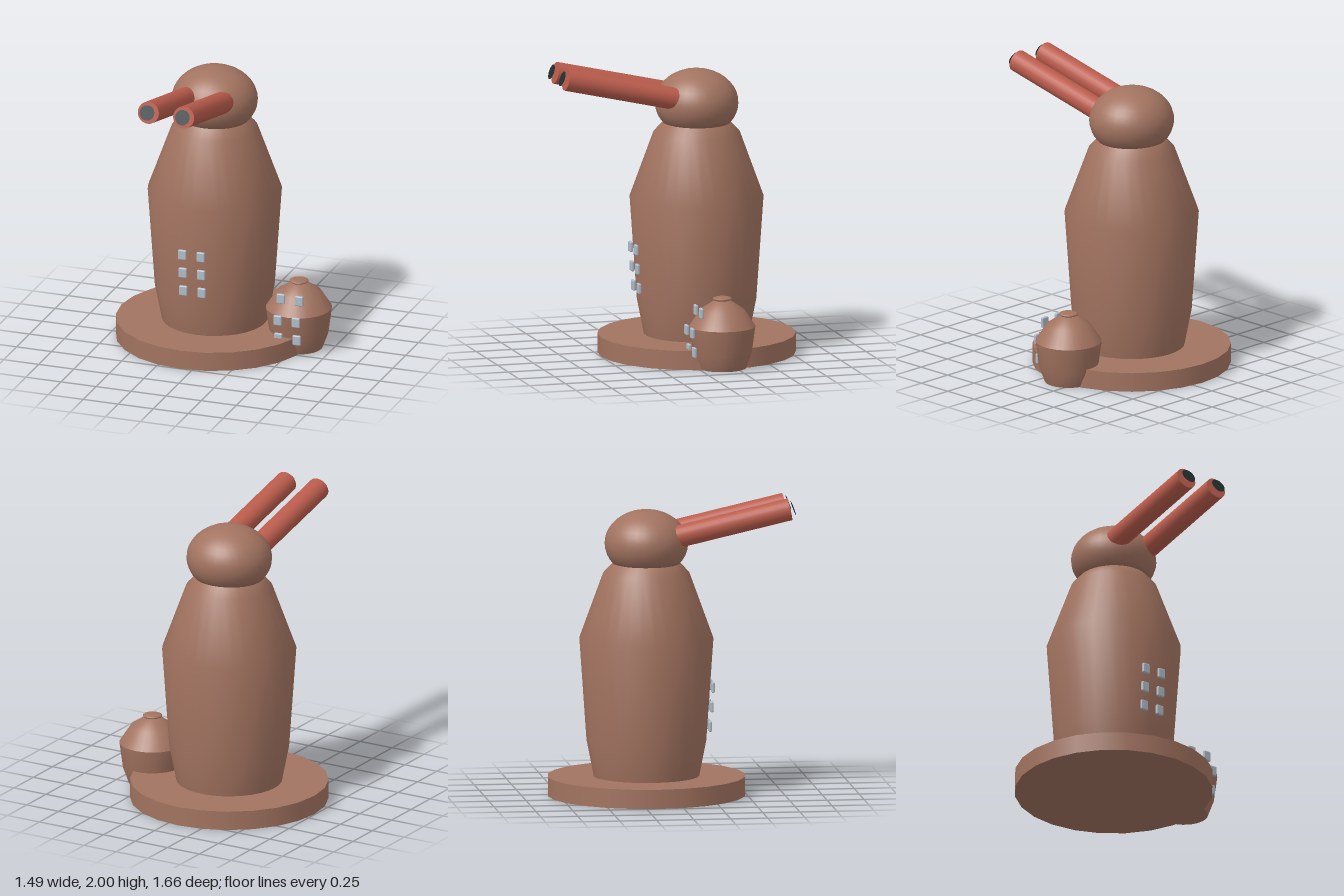
import * as THREE from 'three';
import { RoundedBoxGeometry } from 'three/addons/geometries/RoundedBoxGeometry.js';

export function createModel() {
  const model = new THREE.Group();
  const clay = new THREE.MeshStandardMaterial({ name: 'brown clay', color: 0xa27360 });
  const red = new THREE.MeshStandardMaterial({ name: 'red tube', color: 0xba5c4c });
  const dark = new THREE.MeshStandardMaterial({ name: 'dark lens', color: 0x232e2e, side: THREE.DoubleSide });
  const glass = new THREE.MeshStandardMaterial({ name: 'pale window', color: 0xb0bcc8 });

  const CX = -0.08, CZ = -0.165, HX = 0.52;

  function add(name, geometry, material, x, y, z, parent = model) {
    const mesh = new THREE.Mesh(geometry, material);
    mesh.name = name;
    mesh.position.set(x, y, z);
    parent.add(mesh);
    return mesh;
  }
  const lathe = (points, segments = 32) =>
    new THREE.LatheGeometry(points.map(([r, y]) => new THREE.Vector2(r, y)), segments);

  // Round base and tower body
  add('base', new THREE.CylinderGeometry(0.665, 0.665, 0.13, 24), clay, CX, 0.065, CZ);
  add('towerBody', lathe([[0.355, 0.13], [0.402, 0.37], [0.45, 1.06], [0.29, 1.5], [0.225, 1.57]]), clay, CX, 0, CZ);

  // Head: squashed ball cut flat at the neck, with a closed underside
  const head = [[0, -0.135]];
  for (let i = 0; i <= 14; i++) {
    const a = THREE.MathUtils.lerp(-0.644, Math.PI / 2, i / 14);
    head.push([Math.max(0, 0.29 * Math.cos(a)), 0.227 * Math.sin(a)]);
  }
  add('head', lathe(head), clay, CX, 1.702, CZ).scale.z = 0.965;

  // Pair of tubes rising forward from the head, each with a lens
  const tilt = 0.223, length = 0.88;
  for (const side of [-1, 1]) {
    const eye = new THREE.Group();
    eye.name = side < 0 ? 'rightEye' : 'leftEye';
    eye.position.x = CX + side * 0.126;
    model.add(eye);
    const tube = add('eyeTube', new THREE.CylinderGeometry(0.075, 0.075, length, 24), red,
      0, 1.93 - Math.sin(tilt) * length / 2, 0.785 - Math.cos(tilt) * length / 2, eye);
    tube.rotation.x = Math.PI / 2 - tilt;
    const lens = add('eyeLens', new THREE.CircleGeometry(0.052, 24), dark, 0, 1.938, 0.811, eye);
    lens.rotation.x = -0.35;
  }

  // Small side hut: wall, domed roof and knob
  add('hutWall', lathe([[0, 0], [0.155, 0], [0.16, 0.002], [0.198, 0.105], [0.222, 0.285]]), clay, HX, 0, CZ);
  add('hutRoof', lathe([[0.222, 0.285], [0.147, 0.4], [0.055, 0.46], [0, 0.465]]), clay, HX, 0, CZ);
  const knob = add('hutKnob', new THREE.SphereGeometry(0.065, 20, 12), clay, HX, 0.472, CZ);
  knob.scale.y = 0.25;

  // Two columns of windows on the tower and on the hut
  const pane = new RoundedBoxGeometry(0.058, 0.07, 0.022, 2, 0.008);
  function windows(name, x, rows) {
    for (const [y, z] of rows)
      for (const side of [-1, 1]) add(name, pane, glass, x + side * 0.065, y, z);
  }
  windows('towerWindow', -0.085, [[0.728, 0.275], [0.596, 0.266], [0.464, 0.256]]);
  windows('hutWindow', 0.517, [[0.392, 0], [0.26, 0.063], [0.128, 0.049]]);

  return model;
}
